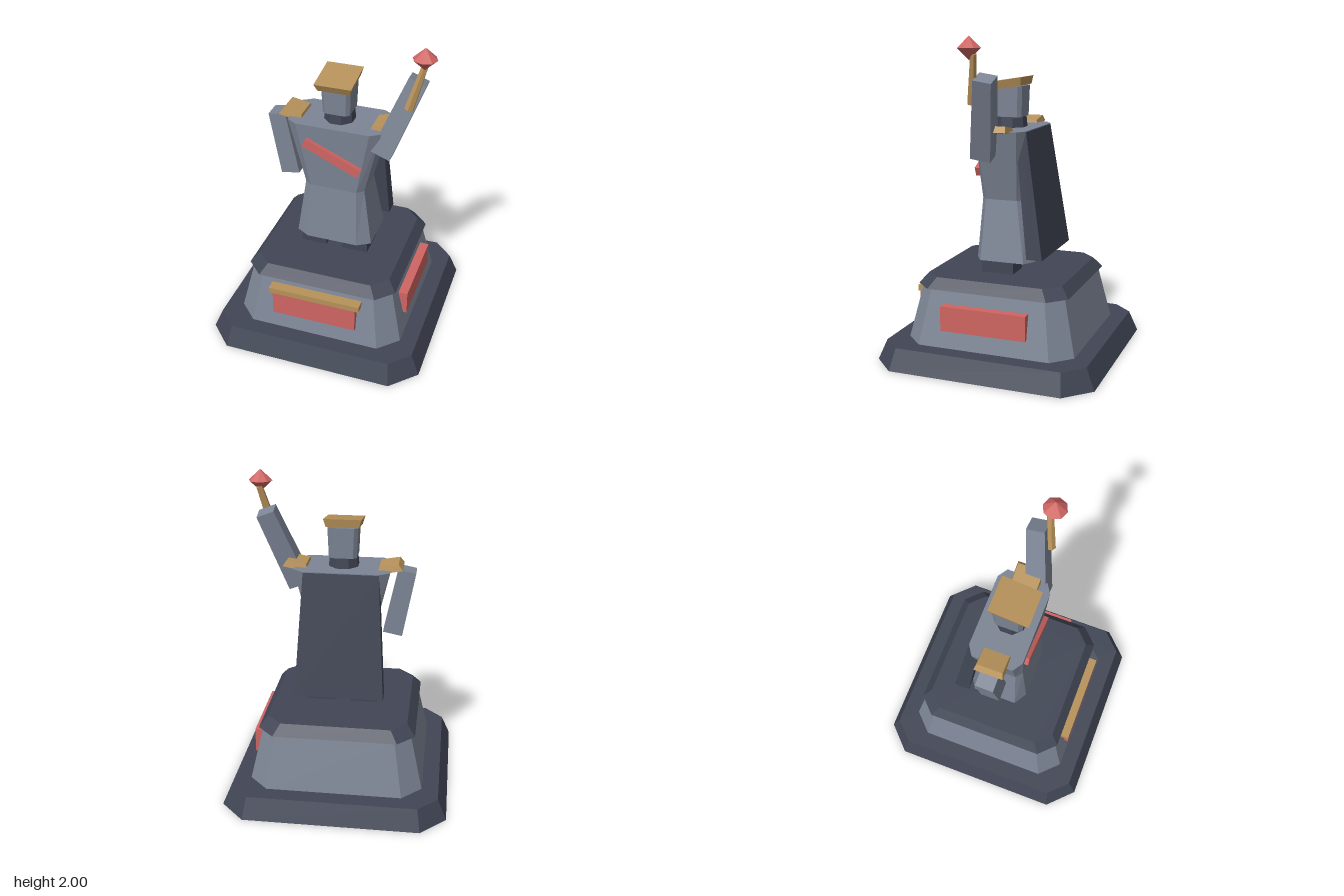
import * as THREE from 'three';

const mat = (name, color) => {
  const m = new THREE.MeshStandardMaterial({ color });
  m.name = name;
  return m;
};

// Give every face its own normal for a faceted look
function facet(geo) {
  const g = geo.index ? geo.toNonIndexed() : geo;
  g.computeVertexNormals();
  return g;
}

// Rectangle outline with cut corners, counter-clockwise seen from above
function ring({ y, hx, hz = hx, cx = 0, cz = cx, z = 0 }) {
  const quarter = cx > 0
    ? [[hx - cx, hz], [hx, hz - cz]]
    : [[hx, hz]];
  const flip = [...quarter].reverse();
  const pts = [
    ...quarter,
    ...flip.map(([a, b]) => [a, -b]),
    ...quarter.map(([a, b]) => [-a, -b]),
    ...flip.map(([a, b]) => [-a, b]),
  ];
  return pts.map(([a, b]) => new THREE.Vector3(a, y, b + z));
}

// Closed solid between stacked outlines
function loft(...sections) {
  const rings = sections.map(ring);
  const n = rings[0].length;
  const tris = [];
  for (let k = 0; k < rings.length - 1; k++) {
    const lo = rings[k], hi = rings[k + 1];
    for (let i = 0; i < n; i++) {
      const j = (i + 1) % n;
      tris.push(lo[i], lo[j], hi[j], lo[i], hi[j], hi[i]);
    }
  }
  const bottom = rings[0], top = rings[rings.length - 1];
  for (let i = 1; i < n - 1; i++) {
    tris.push(top[0], top[i], top[i + 1], bottom[0], bottom[i + 1], bottom[i]);
  }
  return facet(new THREE.BufferGeometry().setFromPoints(tris));
}

export function createModel() {
  const model = new THREE.Group();
  model.name = 'statue';
  const stone = mat('grey stone', 0x7d8595);
  const dark = mat('dark slate', 0x414655);
  const red = mat('red', 0xcf6562);
  const gold = mat('gold', 0xb7925a);

  const add = (name, geo, material, x = 0, y = 0, z = 0) => {
    const mesh = new THREE.Mesh(geo, material);
    mesh.name = name;
    mesh.position.set(x, y, z);
    model.add(mesh);
    return mesh;
  };
  const box = (name, size, material, x, y, z) =>
    add(name, new THREE.BoxGeometry(...size), material, x, y, z);

  // Tapered square limb from a lower to an upper point
  const limb = (name, from, to, lowWidth, topWidth) => {
    const a = new THREE.Vector3(...from), b = new THREE.Vector3(...to);
    const h = a.distanceTo(b) / 2;
    const mesh = add(name, loft({ y: -h, hx: lowWidth / 2 }, { y: h, hx: topWidth / 2 }), stone);
    mesh.position.addVectors(a, b).multiplyScalar(0.5);
    const up = b.clone().sub(a).normalize();
    const side = new THREE.Vector3().crossVectors(up, new THREE.Vector3(0, 0, 1)).normalize();
    const front = new THREE.Vector3().crossVectors(side, up);
    mesh.quaternion.setFromRotationMatrix(new THREE.Matrix4().makeBasis(side, up, front));
    return mesh;
  };

  // Pedestal
  add('plinth', loft({ y: 0, hx: 0.7, cx: 0.155 }, { y: 0.13, hx: 0.645, cx: 0.12 }), dark);
  add('pedestal', loft({ y: 0.13, hx: 0.54, cx: 0.12 }, { y: 0.48, hx: 0.46, cx: 0.095 }), stone);
  add('pedestalCap', loft({ y: 0.475, hx: 0.487, cx: 0.105 }, { y: 0.54, hx: 0.435, cx: 0.095 }), dark);

  // Pedestal plaques
  box('frontPlaque', [0.545, 0.155, 0.1], red, 0, 0.315, 0.488);
  box('plaqueTrim', [0.595, 0.038, 0.1], gold, 0, 0.411, 0.488);
  box('sidePlaque', [0.1, 0.155, 0.545], red, 0.488, 0.315, 0);

  // Feet
  for (const s of [-1, 1]) box('foot', [0.168, 0.1, 0.207], dark, s * 0.138, 0.585, 0.026);

  // Coat
  add('coatSkirt', loft(
    { y: 0.62, hx: 0.248, hz: 0.192, cx: 0.083, cz: 0.05, z: -0.012 },
    { y: 1.0, hx: 0.192, hz: 0.137, cx: 0.042, cz: 0.035, z: 0.01 }), stone);
  add('torso', loft(
    { y: 1.0, hx: 0.192, hz: 0.137, cx: 0.042, cz: 0.035, z: 0.01 },
    { y: 1.435, hx: 0.295, hz: 0.167, cx: 0.062, cz: 0.04, z: 0.003 }), stone);

  // Sash across the chest
  box('sash', [0.385, 0.058, 0.06], red, 0, 1.243, 0.158).rotation.z = -0.427;

  // Cape flaring out behind
  add('cape', loft(
    { y: 0.66, hx: 0.277, hz: 0.05, z: -0.235 },
    { y: 1.43, hx: 0.23, hz: 0.035, z: -0.13 }), dark);

  // Arms
  limb('rightArm', [-0.312, 1.01, 0.012], [-0.393, 1.422, 0.012], 0.122, 0.112);
  limb('leftArm', [0.29, 1.286, 0.083], [0.475, 1.762, -0.005], 0.13, 0.112);

  // Shoulder boards, rising outwards
  for (const s of [-1, 1]) {
    add('shoulderBoard', loft(
      { y: -0.02, hx: 0.08, hz: 0.09 },
      { y: 0.02, hx: 0.06, hz: 0.08 }), gold, s * 0.286, 1.443, 0.007).rotation.z = s * 0.18;
  }

  // Neck, head and flat cap
  const neck = new THREE.CylinderGeometry(0.09, 0.1, 0.1, 8);
  neck.rotateY(Math.PI / 8);
  add('neck', facet(neck), dark, 0, 1.46, 0.012);
  add('head', loft(
    { y: 1.5, hx: 0.086, hz: 0.09, cx: 0.022, z: 0.015 },
    { y: 1.69, hx: 0.093, hz: 0.096, cx: 0.022, z: 0.015 }), stone);
  add('cap', loft(
    { y: -0.025, hx: 0.1, hz: 0.108 },
    { y: 0.025, hx: 0.115, hz: 0.124 }), gold, 0, 1.702, 0.03).rotation.x = 0.16;

  // Sceptre
  const low = new THREE.Vector3(0.444, 1.61, 0.09), high = new THREE.Vector3(0.522, 1.9, 0.045);
  const rod = add('sceptreRod',
    facet(new THREE.CylinderGeometry(0.02, 0.03, low.distanceTo(high), 6)), gold);
  rod.position.addVectors(low, high).multiplyScalar(0.5);
  rod.quaternion.setFromUnitVectors(new THREE.Vector3(0, 1, 0), high.clone().sub(low).normalize());
  const gem = new THREE.LatheGeometry(
    [[0, -0.068], [0.073, 0], [0, 0.068]].map(([r, y]) => new THREE.Vector2(r, y)), 8);
  add('sceptreGem', facet(gem), red, 0.52, 1.932, 0.073);

  return model;
}
